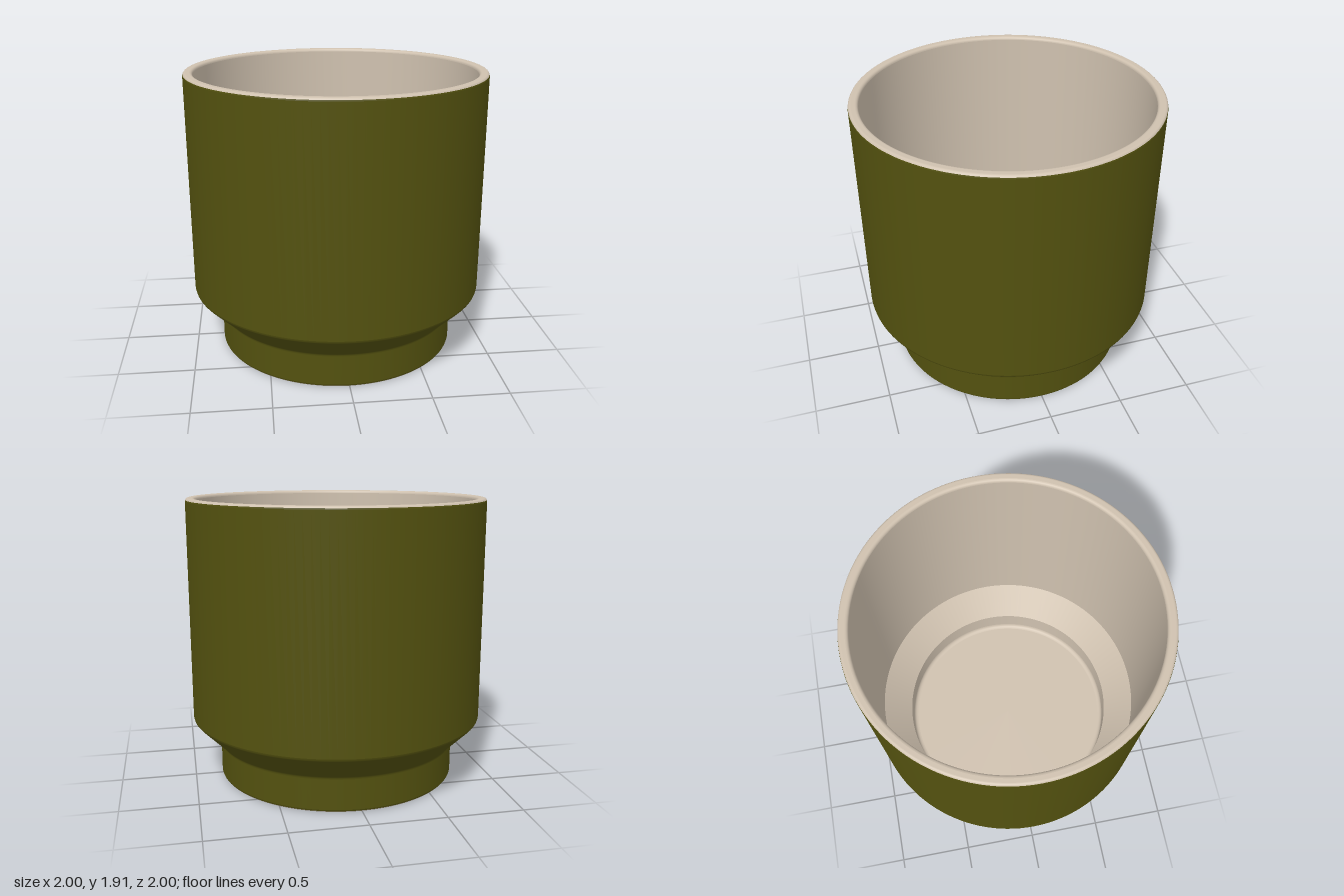
import * as THREE from 'three';
import { mergeGeometries } from 'three/addons/utils/BufferGeometryUtils.js';

const SEGMENTS = 128;

// Points along a circular fillet in the profile plane, angles in degrees.
function arc(cx, cy, r, from, to, steps = 5) {
  return Array.from({ length: steps + 1 }, (_, i) => {
    const a = THREE.MathUtils.degToRad(from + ((to - from) * i) / steps);
    return [cx + r * Math.cos(a), cy + r * Math.sin(a)];
  });
}

// Each run of points is smooth within itself; edges between runs stay sharp.
function turned(name, material, runs) {
  const parts = runs.map((run) =>
    new THREE.LatheGeometry(run.map(([x, y]) => new THREE.Vector2(x, y)), SEGMENTS));
  const mesh = new THREE.Mesh(mergeGeometries(parts), material);
  mesh.name = name;
  return mesh;
}

export function createModel() {
  const glaze = new THREE.MeshStandardMaterial({ color: 0x53510f });
  glaze.name = 'olive glaze';
  const clay = new THREE.MeshStandardMaterial({ color: 0xcfc1af });
  clay.name = 'cream clay';

  const cup = new THREE.Group();
  cup.name = 'cup';

  // Glazed outside: narrow foot, flared shoulder, straight wall
  const footBend = arc(0.845, 0.222, 0.03, 180, 135, 4);
  cup.add(turned('outerWall', glaze, [
    [[0.811, 0.008], [0.815, 0.018]],
    [[0.815, 0.018], footBend[0]],
    footBend,
    [footBend[4], [0.99, 0.41]],
    [[0.99, 0.41], [0.997, 0.418], [1, 0.43]],
    [[1, 0.43], [1, 1.89]],
    [[1, 1.89], [0.998, 1.898]],
  ]));

  // Bare foot ring and recessed underside
  cup.add(turned('footRing', clay, [
    [[0, 0.02], [0.775, 0.02]],
    [[0.775, 0.02], [0.778, 0.008], [0.785, 0.002], [0.792, 0]],
    [[0.792, 0], [0.8, 0]],
    [[0.8, 0], [0.806, 0.002], [0.811, 0.008]],
  ]));

  // Rounded lip
  cup.add(turned('rim', clay, [
    [[0.998, 1.898], ...arc(0.98, 1.89, 0.02, 45, 90, 4)],
    [[0.98, 1.91], [0.955, 1.91]],
    arc(0.955, 1.89, 0.02, 90, 180),
  ]));

  // Inside wall, sloped shoulder and floor
  cup.add(turned('innerWall', clay, [
    [[0.935, 1.89], [0.935, 0.455]],
    [[0.935, 0.455], [0.75, 0.26]],
    [[0.75, 0.26], [0.75, 0.1]],
    arc(0.72, 0.1, 0.03, 0, -90),
  ]));
  cup.add(turned('innerFloor', clay, [[[0.72, 0.07], [0, 0.07]]]));

  return cup;
}
